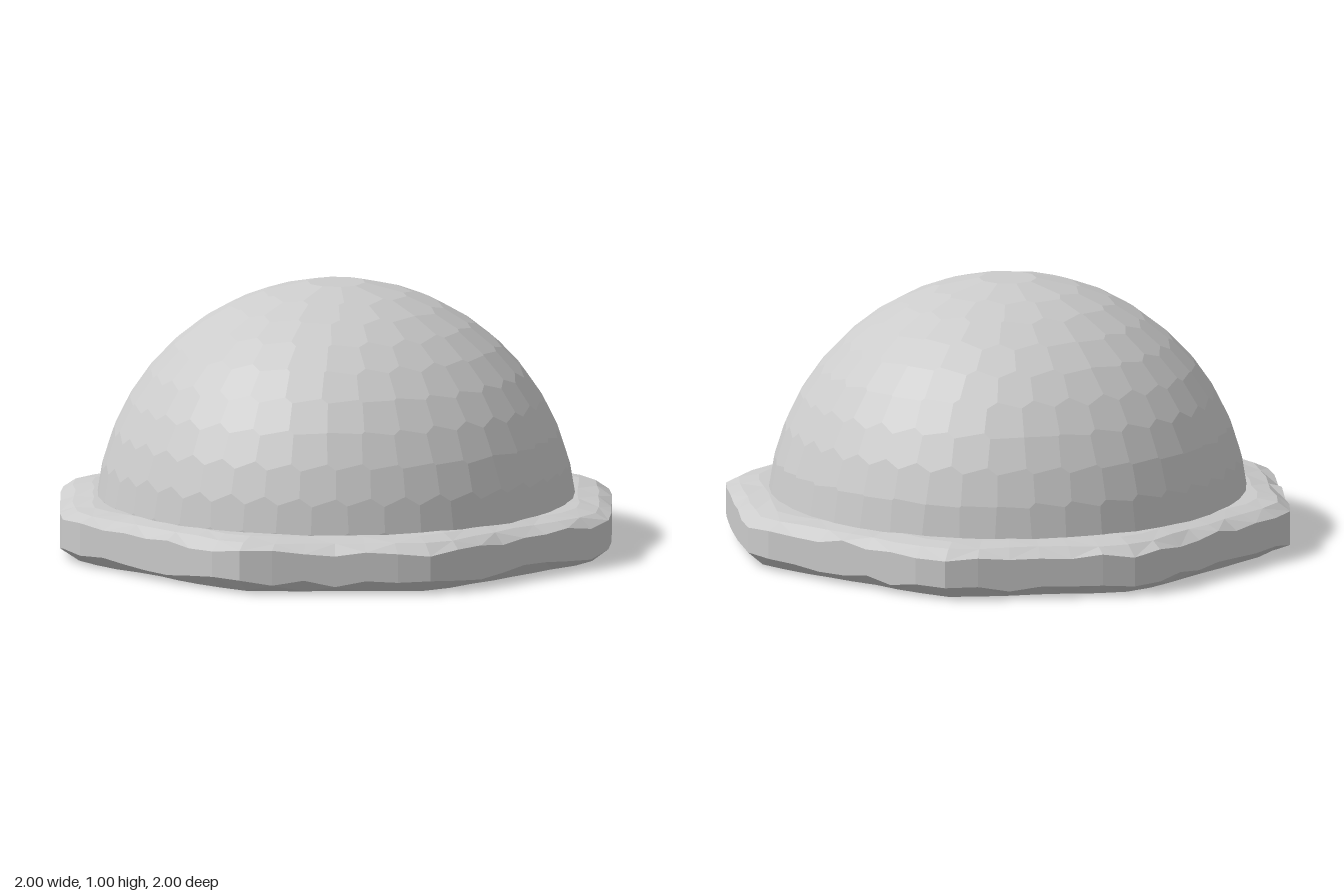
import * as THREE from 'three';
import { ConvexGeometry } from 'three/addons/geometries/ConvexGeometry.js';

// small seeded noise source, -1..1
function makeNoise(seed) {
  let s = seed;
  return () => {
    s = (s * 16807) % 2147483647;
    return (s / 2147483647) * 2 - 1;
  };
}

// Cut a solid by planes, each given as normal / distance from the origin
function solidFromPlanes(poles) {
  const hull = new ConvexGeometry(poles);
  const pos = hull.getAttribute('position'), nor = hull.getAttribute('normal');
  const corners = [];
  for (let i = 0; i < pos.count; i += 3) {
    const v = new THREE.Vector3().fromBufferAttribute(pos, i);
    const n = new THREE.Vector3().fromBufferAttribute(nor, i);
    const p = n.divideScalar(n.dot(v));
    if (!corners.some((c) => c.distanceTo(p) < 0.002)) corners.push(p);
  }
  return new ConvexGeometry(corners);
}

// Hemisphere cut into many flat honeycomb facets, arranged in rings around the top
function domeGeometry(radius) {
  const noise = makeNoise(77);
  const poles = [new THREE.Vector3(0, 1 / radius, 0), new THREE.Vector3(0, -20, 0)];
  for (let k = 0; k < 10; k++) {
    const theta = 0.23 + k * 0.147;
    const count = Math.round((Math.PI * 2 * Math.sin(theta)) / 0.15);
    for (let i = 0; i < count; i++) {
      const phi = ((i + (k % 2) / 2 + noise() * 0.05) / count) * Math.PI * 2;
      poles.push(new THREE.Vector3().setFromSphericalCoords(1 / radius, theta + noise() * 0.006, phi));
    }
  }
  return solidFromPlanes(poles);
}

// Distance to the edge of an octagon with clipped corners
function octagonRadius(a) {
  const step = Math.PI / 4;
  const side = Math.round(a / step);
  const apothem = side % 2 ? 1.03 : 1;
  const other = side % 2 ? 1 : 1.03;
  const d = Math.abs(a - side * step);
  return Math.min(apothem / Math.cos(d), other / Math.cos(step - d), 1.08);
}

// Slab built from loops: [inset, height, inset roughness, height roughness]
function slabGeometry() {
  const noise = makeNoise(1234);
  const loops = [
    [0.06, 0, 0.015, 0],
    [0.0, 0.04, 0, 0.014],
    [0.0, 0.155, 0, 0.014],
    [0.045, 0.185, 0.015, 0.003],
    [0.12, 0.198, 0.01, 0.002],
  ];
  const count = 56;
  const positions = [], index = [];
  loops.forEach(([inset, y, roughIn, roughY], j) => {
    for (let i = 0; i < count; i++) {
      const a = (i / count) * Math.PI * 2;
      const r = octagonRadius(a) - inset - Math.abs(noise()) * roughIn;
      positions.push(r * Math.sin(a), y + noise() * roughY, r * Math.cos(a));
      if (j === 0) continue;
      const n = (i + 1) % count, lo = (j - 1) * count, hi = j * count;
      if ((i + j) % 2) index.push(lo + i, lo + n, hi + n, lo + i, hi + n, hi + i);
      else index.push(lo + i, lo + n, hi + i, lo + n, hi + n, hi + i);
    }
  });
  // close underside and top
  const bottom = positions.length / 3, top = bottom + 1, last = (loops.length - 1) * count;
  positions.push(0, 0, 0, 0, 0.2, 0);
  for (let i = 0; i < count; i++) {
    const n = (i + 1) % count;
    index.push(bottom, n, i, top, last + i, last + n);
  }
  const geo = new THREE.BufferGeometry();
  geo.setAttribute('position', new THREE.Float32BufferAttribute(positions, 3));
  geo.setIndex(index);
  const flat = geo.toNonIndexed();
  flat.computeVertexNormals();
  return flat;
}

export function createModel() {
  const group = new THREE.Group();
  group.name = 'domeOnOctagonalBase';
  const material = new THREE.MeshStandardMaterial({ color: 0xcccccc, flatShading: true });

  const base = new THREE.Mesh(slabGeometry(), material);
  base.name = 'octagonalBase';

  const dome = new THREE.Mesh(domeGeometry(0.893), material);
  dome.name = 'dome';
  dome.position.y = 0.105;

  group.add(base, dome);
  return group;
}
